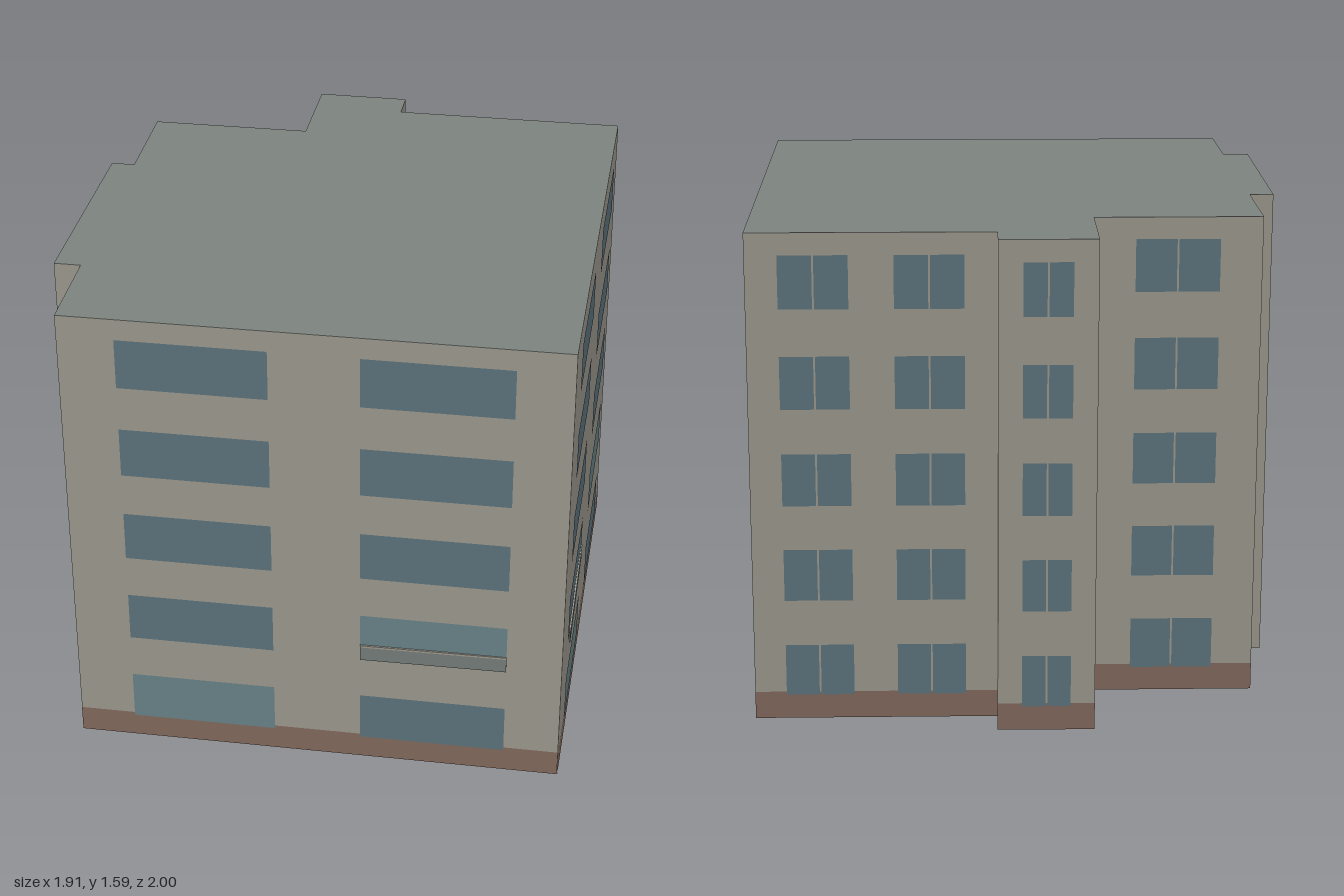
import * as THREE from 'three';

const HEIGHT = 1.59;
const PLINTH = 0.09;
const ROWS = [0.08, 0.4, 0.715, 1.03, 1.35]; // window sills
const WINDOW_H = 0.17;

// Footprint corners [x, z]; each wall runs from its corner to the next.
// columns: window spans along the wall; split: two panes; plain: no plinth
const pair = [[0.112, 0.409], [0.588, 0.886]];
const WALLS = [
  { name: 'rightWall', at: [0.57, -1.0], columns: pair, ledge: 1 },
  { name: 'frontWall', at: [0.95, 0.62], columns: pair, ledge: 0 },
  { name: 'leftFrontWall', at: [-0.61, 0.995], columns: [[0.25, 0.75]], split: true },
  { name: 'leftFrontStep', at: [-0.69, 0.67], columns: [], plain: true },
  { name: 'leftMiddleWall', at: [-0.775, 0.69], columns: [[0.14, 0.42], [0.57, 0.86]], split: true },
  { name: 'leftBackStep', at: [-0.945, -0.045], columns: [], plain: true },
  { name: 'leftBackWall', at: [-0.87, -0.065], columns: [[0.24, 0.76]], split: true },
  { name: 'backLeftWall', at: [-0.955, -0.415], columns: [[0.25, 0.75]], split: true },
  { name: 'bayLeftWall', at: [-0.435, -0.54], columns: [[0.2, 0.8]] },
  { name: 'bayBackWall', at: [-0.51, -0.86], columns: [[0.25, 0.75]], split: true },
  { name: 'bayRightStep', at: [-0.21, -0.93], columns: [], plain: true },
  { name: 'backWall', at: [-0.185, -0.82], columns: [[0.13, 0.41], [0.59, 0.87]], split: true },
];

export function createModel() {
  const mat = (color, side = THREE.FrontSide) =>
    new THREE.MeshStandardMaterial({ color, side, roughness: 0.9, flatShading: true });
  const wallMat = mat(0xa5a196, THREE.DoubleSide);
  const roofMat = mat(0x7c8480, THREE.DoubleSide);
  const plinthMat = mat(0x8a6f62);
  const glassMat = mat(0x627a84);
  const paleGlassMat = mat(0x6e8a8f);
  const ledgeMat = mat(0x7c8480);

  const model = new THREE.Group();
  model.name = 'apartmentBlock';

  WALLS.forEach((wall, i) => {
    const [x0, z0] = wall.at;
    const [x1, z1] = WALLS[(i + 1) % WALLS.length].at;
    const dx = x1 - x0, dz = z1 - z0;
    const length = Math.hypot(dx, dz);

    // Local frame: +z points outwards, -x runs along the wall
    const side = new THREE.Group();
    side.name = wall.name;
    side.position.set((x0 + x1) / 2, 0, (z0 + z1) / 2);
    side.rotation.y = Math.atan2(dz, -dx);
    model.add(side);

    const panel = (name, t0, t1, y, h, out, material) => {
      const mesh = new THREE.Mesh(new THREE.PlaneGeometry((t1 - t0) * length, h), material);
      mesh.name = name;
      mesh.position.set((0.5 - (t0 + t1) / 2) * length, y + h / 2, out);
      side.add(mesh);
    };

    panel('wall', 0, 1, 0, HEIGHT, 0, wallMat);
    if (!wall.plain) panel('plinth', 0, 1, 0, PLINTH, 0.0015, plinthMat);

    wall.columns.forEach(([t0, t1], c) => {
      ROWS.forEach((y, floor) => {
        // A few lower windows have paler glass
        const pale = wall.ledge !== undefined &&
          ((floor === 0 && c === 1) || (floor === 1 && c === 0));
        const glass = pale ? paleGlassMat : glassMat;
        if (wall.split) {
          const mid = (t0 + t1) / 2, gap = 0.003 / length;
          panel('window', t0, mid - gap, y, WINDOW_H, 0.003, glass);
          panel('window', mid + gap, t1, y, WINDOW_H, 0.003, glass);
        } else {
          panel('window', t0, t1, y, WINDOW_H, 0.003, glass);
        }
      });
    });

    // Shallow balcony panel with a pale rail, standing slightly off the wall
    if (wall.ledge !== undefined) {
      const [t0, t1] = wall.columns[wall.ledge];
      const w = (t1 - t0) * length;
      const balcony = new THREE.Group();
      balcony.name = 'balcony';
      balcony.position.set((0.5 - (t0 + t1) / 2) * length, ROWS[1], 0.006);
      balcony.rotation.y = 0.01;
      const front = new THREE.Mesh(new THREE.BoxGeometry(w, 0.05, 0.004), ledgeMat);
      front.name = 'balconyPanel';
      front.position.y = 0.025;
      const rail = new THREE.Mesh(new THREE.BoxGeometry(w, 0.007, 0.006), wallMat);
      rail.name = 'balconyRail';
      rail.position.y = 0.0535;
      balcony.add(front, rail);
      side.add(balcony);
    }
  });

  // Flat roof following the footprint
  const outline = new THREE.Shape(WALLS.map(({ at: [x, z] }) => new THREE.Vector2(x, -z)));
  const roof = new THREE.Mesh(new THREE.ShapeGeometry(outline).rotateX(-Math.PI / 2), roofMat);
  roof.name = 'roof';
  roof.position.y = HEIGHT;
  model.add(roof);

  return model;
}
